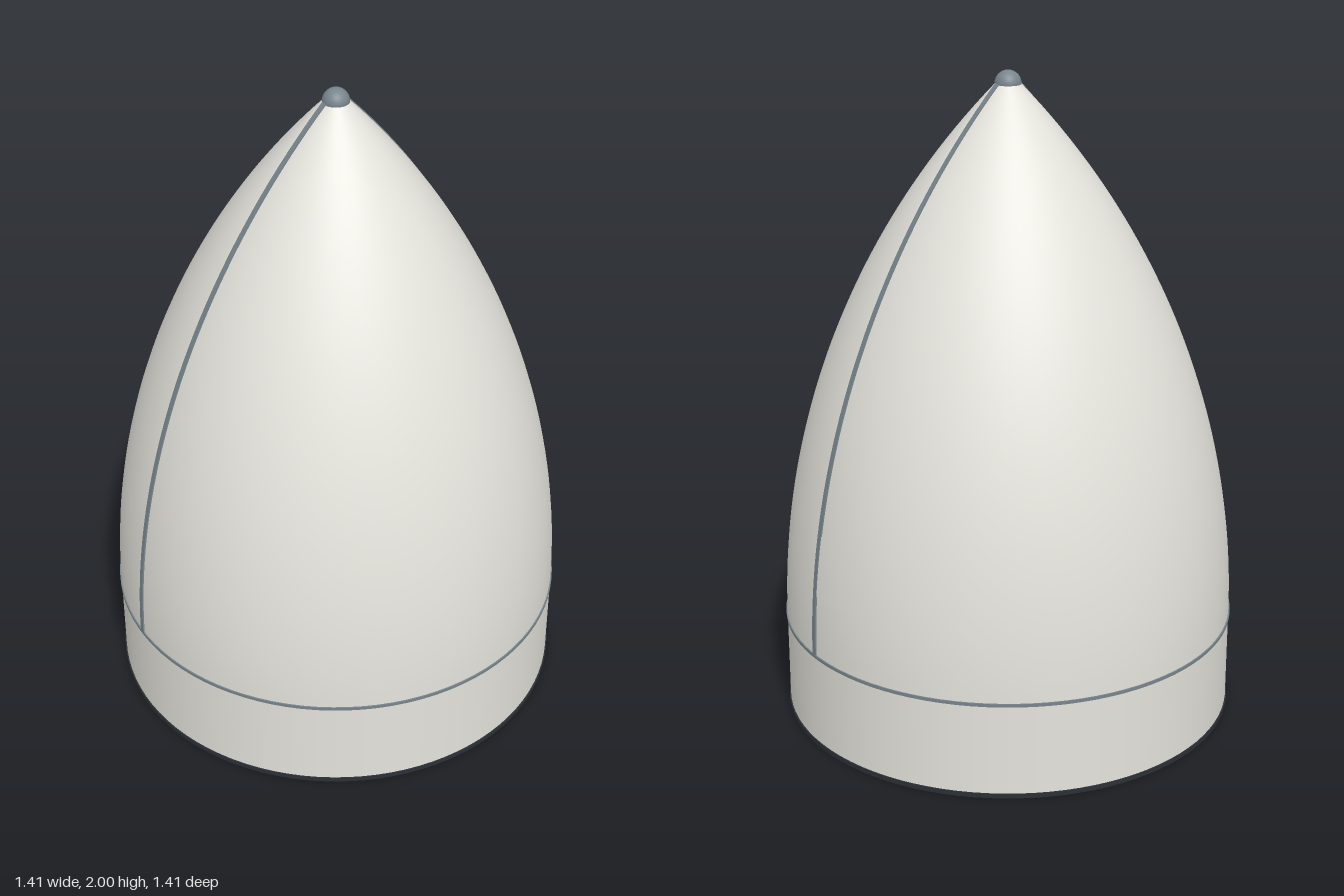
import * as THREE from 'three';

const R = 0.7, BASE = 0.3, LEN = 1.7;
const RHO = (R * R + LEN * LEN) / (2 * R);
// radius of the tangent ogive at height y
const radiusAt = y => y <= BASE ? R : Math.sqrt(RHO * RHO - (y - BASE) ** 2) - (RHO - R);
const profile = (y0, y1, n, off = 0) => Array.from({ length: n + 1 }, (_, i) => {
  const y = y0 + (y1 - y0) * i / n;
  return new THREE.Vector2(radiusAt(y) + off, y);
});

export function createModel() {
  const model = new THREE.Group();
  const paint = (name, color, side = THREE.FrontSide) => {
    const m = new THREE.MeshStandardMaterial({ color, side });
    m.name = name;
    return m;
  };
  const white = paint('warm white', 0xe4e3dc, THREE.DoubleSide);
  const grey = paint('blue grey', 0x78858c);
  const dark = paint('dark grey', 0x2b3035);
  const add = (name, geometry, material) => {
    const mesh = new THREE.Mesh(geometry, material);
    mesh.name = name;
    model.add(mesh);
    return mesh;
  };
  const lathe = (pts, seg = 96, ...arc) => new THREE.LatheGeometry(pts, seg, ...arc);
  // square-edged hoop; each face is its own band so edges stay sharp
  const hoop = (name, r0, r1, y0, y1, material) => {
    const c = [[r0, y0], [r1, y0], [r1, y1], [r0, y1], [r0, y0]].map(p => new THREE.Vector2(...p));
    for (let i = 0; i < 4; i++) add(name, lathe([c[i], c[i + 1]]), material);
  };

  // outer skin: straight skirt and curved nose
  add('skirt', lathe([new THREE.Vector2(R, 0.012), new THREE.Vector2(R, BASE)]), white);
  add('noseShell', lathe(profile(BASE, 1.965, 48)), white);

  // hoops at the bottom edge and where the nose begins
  hoop('baseRim', 0.69, 0.704, 0, 0.014, dark);
  hoop('jointRing', 0.695, 0.704, 0.298, 0.308, grey);

  // rounded tip
  const tip = add('noseCap', new THREE.SphereGeometry(0.04, 32, 20), grey);
  tip.position.y = 1.96;

  // raised split line running over the nose on both sides
  const outer = profile(BASE, 1.97, 40, 0.004);
  const inner = profile(BASE, 1.97, 40, -0.004).reverse();
  const seam = new THREE.ExtrudeGeometry(new THREE.Shape([...outer, ...inner]),
    { depth: 0.018, bevelEnabled: false });
  seam.translate(0, 0, -0.009);
  const turn = -Math.atan2(0.25, 0.65);
  for (const a of [0, Math.PI]) add('splitSeam', seam, grey).rotation.y = turn + a;

  // curved access door lying just proud of the skin
  const from = Math.PI / 2 - 0.405, sweep = 0.255;
  add('accessDoor', lathe(profile(0.5, 0.69, 8, 0.002), 12, from, sweep), white);

  // funnel-shaped floor inside the skirt, open in the middle
  add('innerCone', lathe([new THREE.Vector2(0.19, 0.005), new THREE.Vector2(0.698, 0.29)]), white);

  return model;
}
